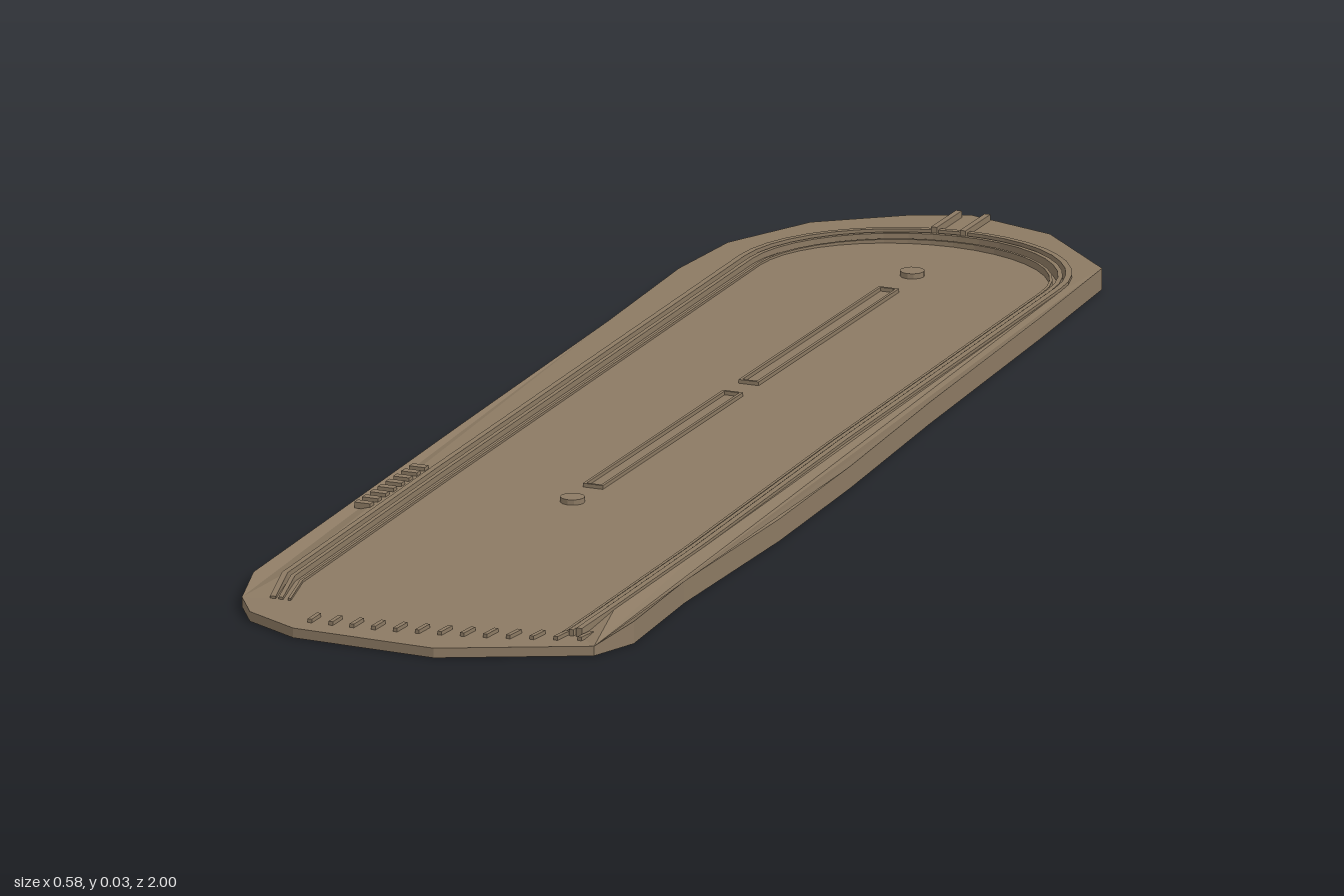
import * as THREE from 'three';

// Height of the surrounding bank: rises toward +x, drops low at the gate end
const bankY = (x, z) => (z > 0.86 ? 0.013 : 0.024 + 0.02 * x);
const FLOOR = 0.013;

// Irregular outer outline, [x, z]
const outer = [
  [-0.04, -1], [0.09, -0.955], [0.215, -0.835], [0.23, -0.6], [0.25, -0.2], [0.27, 0.1],
  [0.28, 0.35], [0.278, 0.65], [0.29, 0.84], [0.265, 0.91], [0.08, 1], [-0.12, 0.99],
  [-0.2, 0.945], [-0.235, 0.89], [-0.258, 0.8], [-0.265, 0.5], [-0.275, 0.1], [-0.285, -0.4],
  [-0.295, -0.65], [-0.283, -0.78], [-0.22, -0.9], [-0.11, -0.975],
];

// U-shaped track line, moved inward by d: left leg, round end, right leg
function track(d) {
  const pts = [[-0.2 + d, 0.88], [-0.218 + d, 0.8], [-0.228 + d, 0.3]];
  for (let i = 0; i <= 20; i++) {
    const a = Math.PI * (1 - i / 20);
    pts.push([-0.017 + (0.224 - d) * Math.cos(a), -0.72 - (0.2 - d) * Math.sin(a)]);
  }
  pts.push([0.222 - d, 0], [0.24 - d, 0.5], [0.245 - d, 0.8], [0.235 - d, 0.88]);
  return pts;
}

const toVectors = (pts) => pts.map(([x, z]) => new THREE.Vector2(x, -z));

// Flat face filled from an outline, raised by a height rule
function sheet(pts, hole, heightAt) {
  const shape = new THREE.Shape(toVectors(pts));
  if (hole) shape.holes.push(new THREE.Path(toVectors(hole)));
  const geo = new THREE.ShapeGeometry(shape).rotateX(-Math.PI / 2);
  const p = geo.attributes.position;
  for (let i = 0; i < p.count; i++) p.setY(i, heightAt(p.getX(i), p.getZ(i)));
  geo.computeVertexNormals();
  return geo;
}

// Upright band around a closed outline
function band(pts, lowAt, highAt) {
  const pos = [];
  pts.forEach(([x, z], i) => {
    const [u, w] = pts[(i + 1) % pts.length];
    const a = [x, lowAt(x, z), z], b = [u, lowAt(u, w), w];
    const c = [u, highAt(u, w), w], d = [x, highAt(x, z), z];
    pos.push(...a, ...c, ...b, ...a, ...d, ...c);
  });
  const geo = new THREE.BufferGeometry();
  geo.setAttribute('position', new THREE.Float32BufferAttribute(pos, 3));
  geo.computeVertexNormals();
  return geo;
}

export function createModel() {
  const model = new THREE.Group();
  model.name = 'stadium';
  const stone = new THREE.MeshStandardMaterial({ color: 0x8c7a63, side: THREE.DoubleSide, flatShading: true });
  stone.name = 'sandstone';

  const add = (name, geo) => {
    const mesh = new THREE.Mesh(geo, stone);
    mesh.name = name;
    model.add(mesh);
    return mesh;
  };
  const box = (name, w, h, d, x, y, z, turn = 0) => {
    const mesh = add(name, new THREE.BoxGeometry(w, h, d));
    mesh.position.set(x, y + h / 2, z);
    mesh.rotation.y = turn;
  };

  // Ground: outer bank, its skirt, the step down and the arena floor
  const inner = [...track(0), [0.2, 0.905], [-0.165, 0.905]];
  add('bank', sheet(outer, inner, bankY));
  add('skirt', band(outer, () => 0, bankY));
  add('bankStep', band(inner, () => FLOOR, bankY));
  add('arenaFloor', sheet(inner, null, () => FLOOR));

  // Low seating tiers following the track, open at the gate end
  const tiers = [[0, 0.008, 0.004], [0.012, 0.006, 0.001], [0.025, 0.004, -0.004]];
  for (const [d, width, rise] of tiers) {
    const ring = [...track(d), ...track(d + width).reverse()];
    const top = (x, z) => Math.max(FLOOR + 0.003, 0.024 + 0.02 * x + rise - (z > 0.86 ? 0.008 : 0));
    add('seatingTier', sheet(ring, null, top));
    add('seatingTierSide', band(ring, () => FLOOR - 0.002, top));
  }

  // Central barrier: two long low frames with a turning post at each end
  for (const z of [0.045, -0.455]) {
    for (const x of [-0.027, -0.003]) box('barrierWall', 0.004, 0.007, 0.45, x, FLOOR - 0.002, z);
    for (const s of [-1, 1]) box('barrierEnd', 0.028, 0.007, 0.004, -0.015, FLOOR - 0.002, z + s * 0.223);
  }
  for (const z of [0.335, -0.755]) {
    const post = add('turningPost', new THREE.CylinderGeometry(0.016, 0.016, 0.009, 12));
    post.position.set(-0.015, FLOOR + 0.0025, z);
  }

  // Row of starting gates along a shallow curve
  for (let i = 0; i < 13; i++) {
    const t = i / 12;
    box('startingGate', 0.006, 0.007, 0.03, -0.11 + 0.35 * t, FLOOR - 0.002, 0.945 - 0.065 * t * t, -0.15 * t);
  }

  // Passage walls through the round end
  for (const x of [-0.05, -0.01]) box('passageWall', 0.008, 0.012, 0.08, x, 0.02, -0.945);

  // Terrace on the right side of the bank
  for (let i = 0; i < 8; i++) box('terraceBlock', 0.022, 0.008, 0.012, -0.245, 0.016, 0.3 + i * 0.025);

  return model;
}
